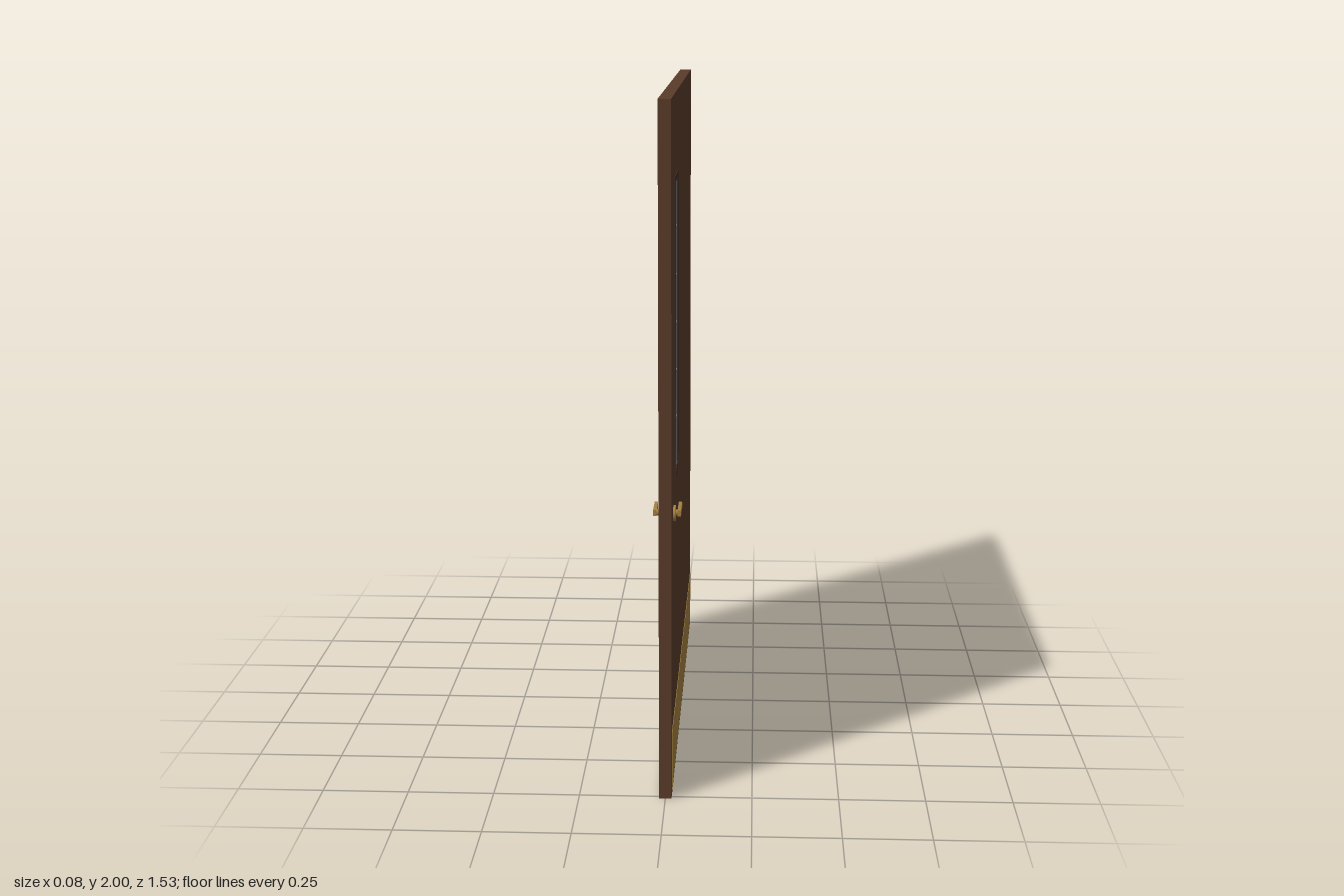
import * as THREE from 'three';

const mat = (color) => new THREE.MeshStandardMaterial({ color });

export function createModel() {
  const door = new THREE.Group();
  door.name = 'door';
  const wood = mat(0x5a3c2a), trim = mat(0x3f2b20), brass = mat(0xa58240);
  const glassMat = mat(0x2b3640), wireMat = mat(0x8a8a86);

  const add = (name, geometry, material, x, y, z) => {
    const mesh = new THREE.Mesh(geometry, material);
    mesh.name = name;
    mesh.position.set(x, y, z);
    door.add(mesh);
    return mesh;
  };
  const box = (name, material, w, h, d, x, y, z) =>
    add(name, new THREE.BoxGeometry(w, h, d), material, x, y, z);

  // Panel outline in (-z, y), optionally with a rectangular opening, extruded along x
  const panel = (name, material, [z0, z1, y0, y1], [a0, a1, b0, b1], thick) => {
    const rect = (C, l, r, b, t) => {
      const s = new C();
      s.moveTo(-r, b); s.lineTo(-l, b); s.lineTo(-l, t); s.lineTo(-r, t); s.closePath();
      return s;
    };
    const shape = rect(THREE.Shape, z0, z1, y0, y1);
    shape.holes.push(rect(THREE.Path, a0, a1, b0, b1));
    const g = new THREE.ExtrudeGeometry(shape, { depth: thick, bevelEnabled: false });
    g.translate(0, 0, -thick / 2).rotateY(Math.PI / 2);
    add(name, g, material, 0, 0, 0);
  };

  // Door slab, window frame and wired glass
  const opening = [0.386, 0.531, 0.912, 1.757];
  panel('slab', wood, [-0.753, 0.763, 0, 2], opening, 0.036);
  panel('windowFrame', trim, [0.371, 0.546, 0.897, 1.772], opening, 0.042);
  const [z0, z1, y0, y1] = opening;
  const zc = (z0 + z1) / 2, yc = (y0 + y1) / 2;
  box('glass', glassMat, 0.0355, y1 - y0, z1 - z0, 0, yc, zc);
  for (let i = 1; i < 3; i++)
    box('verticalWire', wireMat, 0.0365, y1 - y0, 0.002, 0, yc, z0 + (z1 - z0) * i / 3);
  for (let i = 1; i < 6; i++)
    box('horizontalWire', wireMat, 0.0365, 0.002, z1 - z0, 0, y0 + (y1 - y0) * i / 6, zc);

  // Kick plates and lever handles on both faces
  for (const s of [1, -1]) {
    box('kickPlate', brass, 0.002, 0.175, 1.475, s * 0.0185, 0.1075, 0.005);
    const spindle = add('handleSpindle', new THREE.CylinderGeometry(0.009, 0.009, 0.02, 16), brass,
      s * 0.025, 0.82, 0.627);
    spindle.rotation.z = Math.PI / 2;
    box('handleLever', brass, 0.01, 0.018, 0.09, s * 0.035, 0.82, 0.592);
  }
  const rose = add('handleRose', new THREE.CylinderGeometry(0.023, 0.023, 0.008, 24), brass, 0.021, 0.82, 0.633);
  rose.rotation.z = Math.PI / 2;

  // Hinges on the rear edge: leaf with a round knuckle
  for (const y of [0.22, 1.04, 1.83]) {
    box('hingeLeaf', brass, 0.032, 0.08, 0.004, 0, y, -0.753);
    add('hingeKnuckle', new THREE.CylinderGeometry(0.013, 0.013, 0.084, 16), brass, 0, y, -0.75);
  }
  return door;
}
